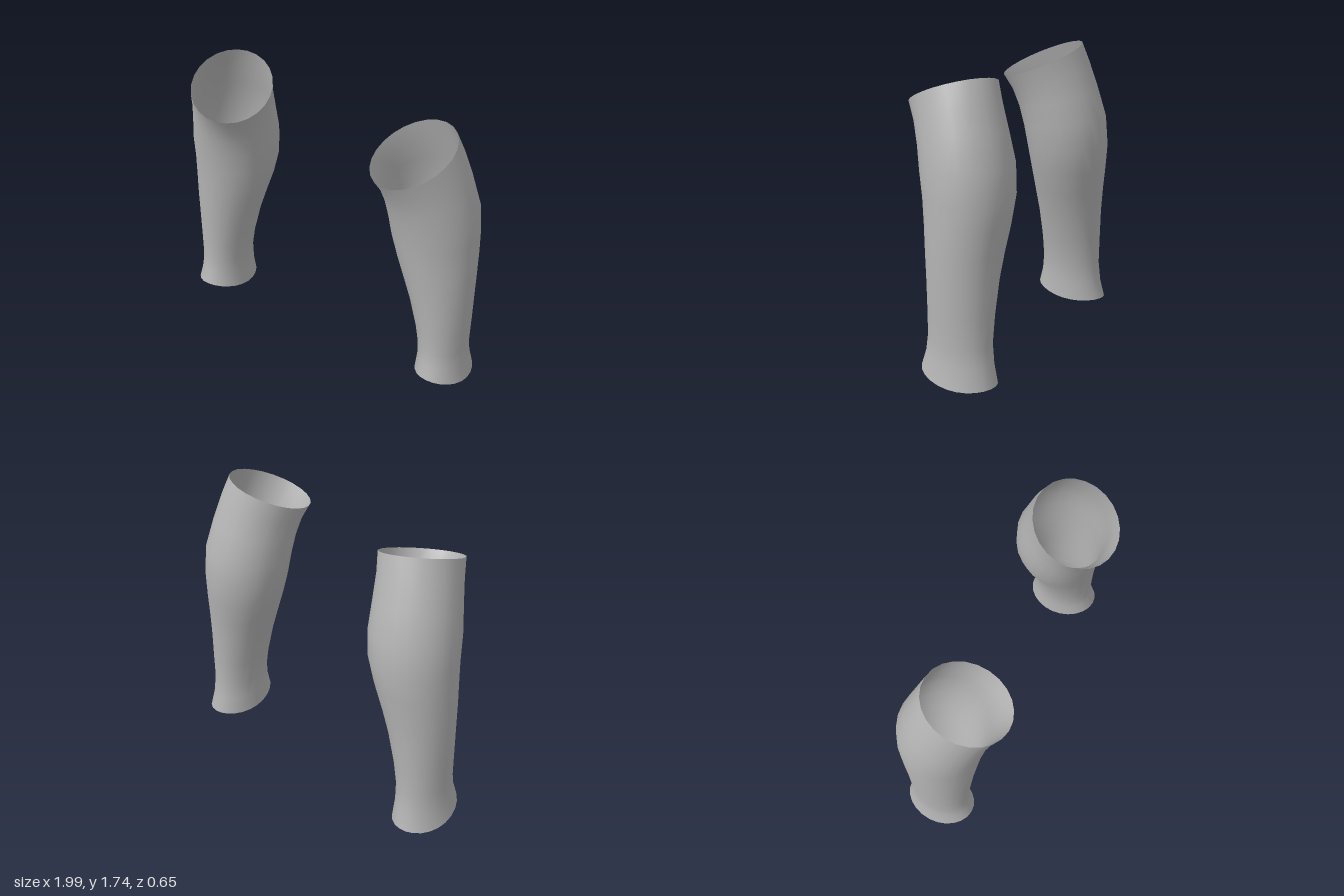
import * as THREE from 'three';

const SIDES = 24;

// Cross-sections from ankle to knee:
// [height, inner x, outer x, back z, front z, sideways tilt, front tilt, bend]
const RINGS = [
  [0.018, 0.668, 0.997, -0.287, 0.165, -0.03, 0.167, 0.55],
  [0.135, 0.676, 0.972, -0.262, 0.140, -0.01, 0.14, 0.3],
  [0.25, 0.672, 0.965, -0.250, 0.130, 0, 0.07, 0.1],
  [0.40, 0.645, 0.969, -0.257, 0.133, 0, 0, 0],
  [0.60, 0.590, 0.973, -0.270, 0.145, 0, 0, 0],
  [0.75, 0.538, 0.975, -0.288, 0.159, 0, 0, 0],
  [0.90, 0.485, 0.974, -0.311, 0.173, 0, 0, 0],
  [1.05, 0.446, 0.969, -0.330, 0.190, 0, -0.03, 0],
  [1.21, 0.430, 0.960, -0.320, 0.213, 0.03, -0.1, 0],
  [1.36, 0.422, 0.925, -0.272, 0.238, 0.1, -0.2, 0],
  [1.50, 0.408, 0.885, -0.222, 0.275, 0.18, -0.3, 0],
  [1.605, 0.380, 0.850, -0.185, 0.323, 0.23, -0.34, 0],
];

// Open tube lofted through the cross-sections; side is +1 (left) or -1 (right)
function shinGeometry(side, stretch) {
  const positions = [];
  const index = [];
  RINGS.forEach(([y, xIn, xOut, zBack, zFront, tiltX, tiltZ, bend], i) => {
    for (let j = 0; j < SIDES; j++) {
      const t = (j / SIDES) * Math.PI * 2;
      const dx = Math.cos(t) * (xOut - xIn) / 2;
      const dz = Math.sin(t) * (zFront - zBack) / 2;
      positions.push(
        side * ((xIn + xOut) / 2 + dx),
        (y + tiltX * dx + tiltZ * dz + bend * dz * dz) * stretch,
        (zBack + zFront) / 2 + dz
      );
      if (i === RINGS.length - 1) continue;
      const a = i * SIDES + j;
      const b = i * SIDES + (j + 1) % SIDES;
      const c = a + SIDES;
      const d = b + SIDES;
      if (side > 0) index.push(a, c, b, b, c, d);
      else index.push(a, b, c, b, d, c);
    }
  });
  const geometry = new THREE.BufferGeometry();
  geometry.setAttribute('position', new THREE.Float32BufferAttribute(positions, 3));
  geometry.setIndex(index);
  geometry.computeVertexNormals();
  return geometry;
}

export function createModel() {
  const group = new THREE.Group();
  group.name = 'shinSleeves';
  const grey = new THREE.MeshStandardMaterial({ color: 0xb4b4b4, side: THREE.DoubleSide });
  grey.name = 'plain grey';

  // The right sleeve stands slightly taller than the left
  for (const [name, side, stretch] of [['leftSleeve', 1, 1], ['rightSleeve', -1, 1.018]]) {
    const sleeve = new THREE.Mesh(shinGeometry(side, stretch), grey);
    sleeve.name = name;
    group.add(sleeve);
  }
  return group;
}
